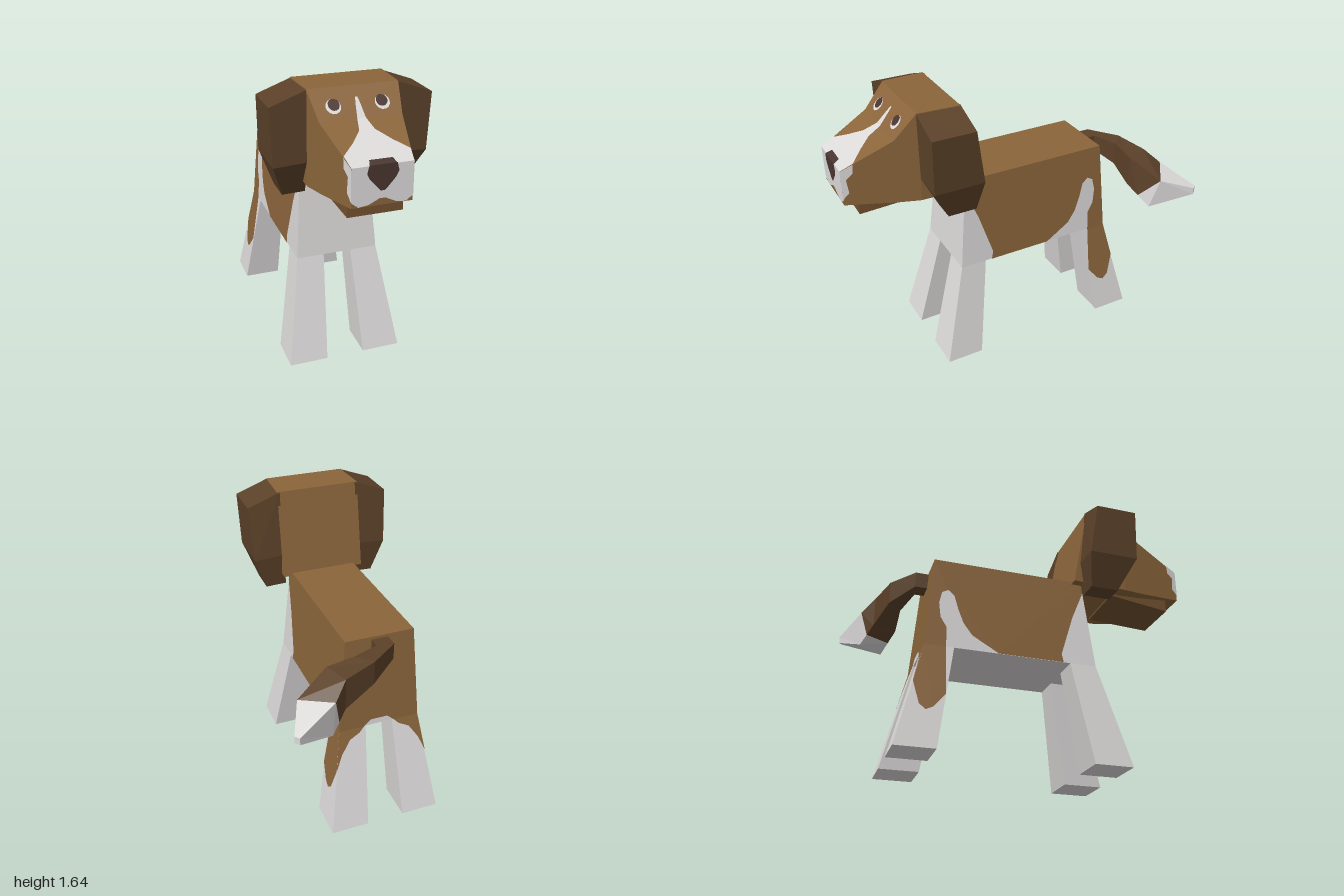
import * as THREE from 'three';

const mat = (name, color) => Object.assign(new THREE.MeshStandardMaterial({ color }), { name });

// Flat-shaded mesh geometry from a list of triangle corners
function facets(tris, flip) {
  const pos = [];
  for (const t of tris) for (const p of flip ? [t[0], t[2], t[1]] : t) pos.push(...p);
  const g = new THREE.BufferGeometry();
  g.setAttribute('position', new THREE.Float32BufferAttribute(pos, 3));
  g.computeVertexNormals();
  return g;
}

// Closed solid through rings of four corners; wound so that it faces outward
function hull(rings) {
  const tris = [];
  const quad = (a, b, c, d) => tris.push([a, b, c], [a, c, d]);
  for (let i = 0; i + 1 < rings.length; i++) {
    for (let j = 0; j < 4; j++) {
      const k = (j + 1) % 4;
      quad(rings[i][j], rings[i][k], rings[i + 1][k], rings[i + 1][j]);
    }
  }
  const last = rings[rings.length - 1];
  quad(rings[0][3], rings[0][2], rings[0][1], rings[0][0]);
  quad(last[0], last[1], last[2], last[3]);
  const o = new THREE.Vector3(...rings[0][0]);
  let volume = 0;
  for (const t of tris) {
    const [a, b, c] = t.map(p => new THREE.Vector3(...p).sub(o));
    volume += a.dot(b.cross(c));
  }
  return facets(tris, volume < 0);
}

// Painted patch: a 2D outline placed on a sloping face, facing the given way
function patch(outline, place, facing) {
  const pts = outline.map(p => new THREE.Vector2(...p));
  const tris = THREE.ShapeUtils.triangulateShape(pts, [])
    .map(t => t.map(i => place(pts[i].x, pts[i].y)));
  const out = new THREE.Vector3(...facing);
  const normal = new THREE.Vector3();
  for (const t of tris) {
    const [a, b, c] = t.map(p => new THREE.Vector3(...p));
    normal.add(b.sub(a).cross(c.sub(a)));
  }
  return facets(tris, normal.dot(out) < 0);
}

// Horizontal and upright rectangular rings
const flatRing = (y, x0, x1, z0, z1) => [[x0, y, z0], [x1, y, z0], [x1, y, z1], [x0, y, z1]];
const uprightRing = (hw, y0, z0, y1, z1) => [[-hw, y0, z0], [hw, y0, z0], [hw, y1, z1], [-hw, y1, z1]];
const mirrored = half => [...half, ...half.map(([x, y]) => [-x, y]).reverse()];
const ellipse = (cx, cy, rx, ry) => Array.from({ length: 14 }, (_, i) => {
  const a = i / 14 * Math.PI * 2;
  return [cx + rx * Math.cos(a), cy + ry * Math.sin(a)];
});

export function createModel() {
  const brown = mat('brownCoat', 0x8b653b);
  const dark = mat('darkBrownCoat', 0x5b4129);
  const jawBrown = mat('jawBrown', 0x72512f);
  const white = mat('whiteCoat', 0xdcd9d9);
  const noseBrown = mat('noseBrown', 0x49352f);

  const dog = new THREE.Group();
  dog.name = 'dog';
  const add = (name, geometry, material) => {
    const m = new THREE.Mesh(geometry, material);
    m.name = name;
    dog.add(m);
  };
  const e = 0.003;

  // Body and legs
  add('body', hull([
    flatRing(0.6, -0.235, 0.235, -0.61, 0.375),
    flatRing(1.148, -0.195, 0.195, -0.57, 0.32),
  ]), white);
  for (const s of [1, -1]) {
    add('frontLeg', hull([
      flatRing(0, s * 0.11, s * 0.33, 0.305, 0.525),
      flatRing(0.6, s * 0.08, s * 0.235, 0.22, 0.375),
    ]), white);
    add('hindLeg', hull([
      flatRing(0, s * 0.11, s * 0.33, -0.76, -0.54),
      flatRing(0.6, s * 0.08, s * 0.235, -0.61, -0.45),
    ]), white);
  }

  // Brown saddle: back, flanks, rump and hind-leg stripes
  const bodyHalf = y => (y > 0.6 ? 0.235 - 0.073 * (y - 0.6) : 0.235 + 0.158 * (0.6 - y));
  const rumpZ = y => (y > 0.6 ? -0.61 + 0.073 * (y - 0.6) : -0.61 - 0.25 * (0.6 - y));
  add('saddleTop', patch([[-0.198, -0.573], [0.198, -0.573], [0.198, 0.32], [-0.198, 0.32]],
    (x, z) => [x, 1.151, z], [0, 1, 0]), brown);
  const flank = [[0.321, 1.151], [-0.573, 1.151], [-0.613, 0.6], [-0.495, 0.6], [-0.495, 0.72],
    [-0.53, 0.78], [-0.54, 0.87], [-0.525, 0.94], [-0.49, 0.96], [-0.455, 0.93], [-0.43, 0.84],
    [-0.40, 0.76], [-0.35, 0.69], [-0.20, 0.6], [0.18, 0.6], [0.17, 0.65], [0.25, 0.9], [0.325, 1.08]];
  const stripe = [[-0.613, 0.6], [-0.669, 0.37], [-0.635, 0.24], [-0.60, 0.21], [-0.56, 0.23],
    [-0.495, 0.31], [-0.495, 0.6]];
  for (const s of [1, -1]) {
    const onSide = (z, y) => [s * (bodyHalf(y) + e), y, z];
    add('flankPatch', patch(flank, onSide, [s, 0, 0]), brown);
    add('hindLegStripe', patch(stripe, onSide, [s, 0, 0]), brown);
    add('rumpStripe', patch([[s * 0.238, 0.6], [s * 0.274, 0.37], [s * 0.235, 0.46], [s * 0.18, 0.54],
      [s * 0.12, 0.57], [s * 0.09, 0.6]], (x, y) => [x, y, rumpZ(y) - e], [0, 0, -1]), brown);
  }
  add('rumpPatch', patch(mirrored([[0.198, 1.151], [0.238, 0.6], [0.09, 0.6], [0.05, 0.635]]),
    (x, y) => [x, y, rumpZ(y) - e], [0, 0, -1]), brown);

  // Head and lower jaw
  add('head', hull([
    uprightRing(0.25, 1.135, 0.26, 1.638, 0.355),
    uprightRing(0.24, 1.132, 0.595, 1.638, 0.595),
    uprightRing(0.215, 1.14, 0.715, 1.505, 0.715),
    uprightRing(0.155, 1.17, 0.994, 1.37, 0.994),
  ]), brown);
  add('lowerJaw', hull([
    uprightRing(0.17, 1.12, 0.53, 1.14, 0.53),
    uprightRing(0.145, 1.086, 0.915, 1.163, 0.915),
  ]), jawBrown);

  // Ears
  for (const s of [1, -1]) {
    const earRing = (xi, yi, xo, yo, zb, zf) =>
      [[s * xi, yi, zb], [s * xo, yo, zb], [s * xo, yo, zf], [s * xi, yi, zf]];
    add('ear', hull([
      earRing(0.235, 1.637, 0.43, 1.565, 0.35, 0.597),
      earRing(0.24, 1.26, 0.415, 1.25, 0.302, 0.593),
      earRing(0.22, 1.06, 0.345, 1.056, 0.325, 0.49),
    ]), dark);
  }

  // Face markings on the brow slope, muzzle top, muzzle front and cheeks
  const onBrow = h => (x, y) => [x, y + 0.66 * h, 0.595 + (1.638 - y) / 1.108 + 0.75 * h];
  const onMuzzle = h => (x, z) => [x, 1.505 - (z - 0.715) * 0.484 + h, z];
  const onFront = h => (x, y) => [x, y, 0.994 + h];
  const up = [0, 1, 1];
  add('blazeTip', patch(mirrored([[0.006, 1.59], [0.013, 1.56], [0.022, 1.505]]), onBrow(e), up), white);
  add('blaze', patch(mirrored([[0.022, 0.715], [0.04, 0.79], [0.10, 0.86], [0.168, 0.925],
    [0.156, 0.996]]), onMuzzle(e), up), white);
  add('muzzlePatch', patch(mirrored([[0.157, 1.372], [0.157, 1.2], [0.12, 1.172], [0.07, 1.178],
    [0.015, 1.205]]), onFront(0.002), [0, 0, 1]), white);
  for (const s of [1, -1]) {
    add('cheekPatch', patch([[0.996, 1.371], [0.93, 1.402], [0.935, 1.35], [0.97, 1.32], [0.962, 1.24],
      [0.982, 1.22], [0.996, 1.2]],
      (z, y) => [s * (0.24 - 0.213 * (z - 0.595) + e), y, z], [s, 0, 0]), white);
    add('eyeWhite', patch(ellipse(s * 0.127, 1.56, 0.039, 0.03), onBrow(e), up), white);
    add('pupil', patch(ellipse(s * 0.124, 1.566, 0.03, 0.024), onBrow(0.006), up), noseBrown);
  }
  add('nose', patch(mirrored([[0.07, 1.376], [0.08, 1.335], [0.065, 1.305], [0.025, 1.26],
    [0.01, 1.245]]), onFront(0.005), [0, 0, 1]), noseBrown);
  add('noseTop', patch(mirrored([[0.058, 0.965], [0.07, 0.999]]), onMuzzle(0.006), up), noseBrown);

  // Tail, bending to the left and down, with a white tip
  const tailRing = (xa, za, xb, zb, top, low) => [[xa, top, za], [xb, top, zb], [xb, low, zb], [xa, low, za]];
  const bend = tailRing(0.295, -0.83, 0.345, -0.69, 1.11, 0.93);
  const wide = [[0.375, 1.04, -0.90], [0.535, 1.02, -0.785], [0.495, 0.832, -0.75], [0.385, 0.832, -0.89]];
  const mid = (a, b) => a.map((v, i) => (v + b[i]) / 2);
  const edge = [wide[0], wide[1], mid(bend[2], wide[2]), mid(bend[3], wide[3])];
  add('tail', hull([
    tailRing(-0.048, -0.56, 0.048, -0.56, 1.135, 1.042),
    tailRing(-0.048, -0.65, 0.048, -0.635, 1.135, 1.042),
    tailRing(0.115, -0.77, 0.195, -0.69, 1.135, 1.0),
    bend,
    edge,
  ]), dark);
  add('tailTip', hull([edge, wide, tailRing(0.595, -1.0, 0.615, -0.975, 0.96, 0.92)]), white);

  dog.position.x = -0.095;
  const model = new THREE.Group();
  model.name = 'model';
  model.add(dog);
  return model;
}
